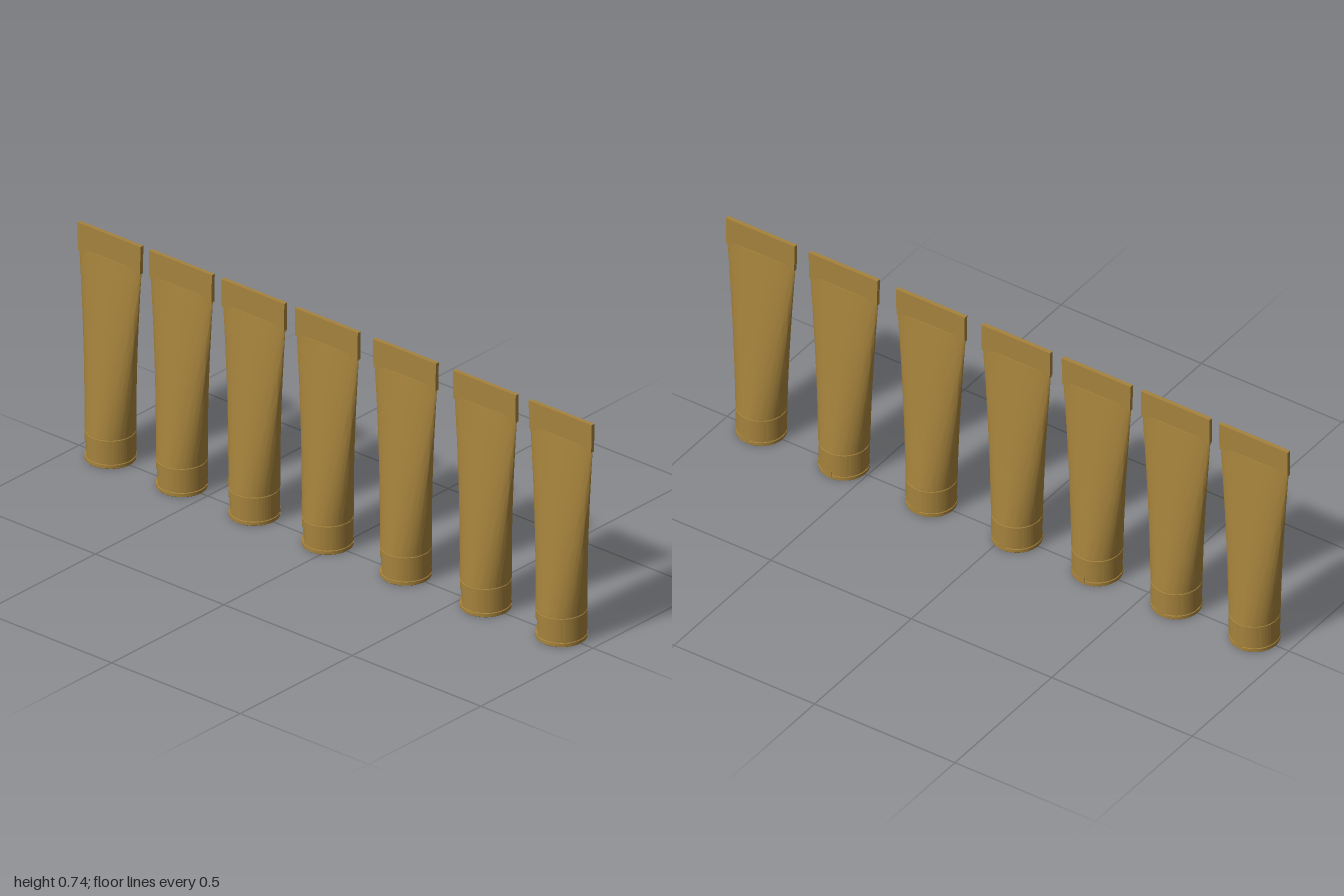
import * as THREE from 'three';
import { toCreasedNormals } from 'three/addons/utils/BufferGeometryUtils.js';

const R = 0.076; // cap radius
const CAP_TOP = 0.097, SEAL = 0.656, TOP = 0.735;

// Move every vertex of a geometry by a rule, then rebuild the normals
function reshape(geometry, rule, crease = 0.6) {
  const p = geometry.attributes.position;
  const v = new THREE.Vector3();
  for (let i = 0; i < p.count; i++) {
    v.fromBufferAttribute(p, i);
    rule(v);
    p.setXYZ(i, v.x, v.y, v.z);
  }
  return toCreasedNormals(geometry, crease);
}

function lathe(points) {
  const profile = points.map(([r, y]) => new THREE.Vector2(r, y));
  return toCreasedNormals(new THREE.LatheGeometry(profile, 64), 0.5);
}

// Tube body: round at the cap, flattening and widening towards the seal
function bodyGeometry() {
  return reshape(new THREE.CylinderGeometry(1, 1, 1, 64, 12), (v) => {
    const t = v.y + 0.5;
    v.set(
      v.x * THREE.MathUtils.lerp(0.0765, 0.1215, t),
      THREE.MathUtils.lerp(CAP_TOP, SEAL, t),
      v.z * THREE.MathUtils.lerp(0.0765, 0.0095, t)
    );
  });
}

// Flat crimped seal, a touch wider at the top
function sealGeometry() {
  const bottom = SEAL - 0.012;
  return reshape(new THREE.BoxGeometry(1, 1, 1), (v) => {
    const t = v.y + 0.5;
    v.set(v.x * THREE.MathUtils.lerp(0.242, 0.245, t),
      THREE.MathUtils.lerp(bottom, TOP, t), v.z * 0.013);
  });
}

// Cap wall with a rounded thumb notch pressed into the front corner
function capWallGeometry() {
  const low = 0.0165, high = 0.091;
  return reshape(new THREE.CylinderGeometry(R, R, high - low, 96, 22, true), (v) => {
    v.y += (low + high) / 2;
    const a = (Math.atan2(v.x, v.z) + Math.PI / 4) * R / 0.027;
    const b = (v.y - 0.04) / 0.0235;
    const d = Math.pow(a ** 4 + b ** 4, 0.25);
    const r = R - 0.005 * (1 - THREE.MathUtils.smoothstep(d, 0.75, 1));
    const k = r / R;
    v.x *= k;
    v.z *= k;
  }, 0.7);
}

// Bow-tie hinge wrapped around the back of the cap
function hingeGeometry() {
  const n = 6, half = 0.55;
  const outline = [];
  for (let s = -1; s <= 1; s += 2) {
    for (let i = -n; i <= n; i++) {
      const u = (-s * i) / n;
      outline.push(new THREE.Vector2(u * half, s * (0.0015 + 0.008 * Math.abs(u))));
    }
  }
  const shape = new THREE.Shape(outline);
  const centre = THREE.MathUtils.degToRad(153);
  return reshape(
    new THREE.ExtrudeGeometry(shape, { depth: 0.003, bevelEnabled: false }),
    (v) => {
      const r = R - 0.0022 + v.z;
      const angle = centre + v.x;
      v.set(r * Math.sin(angle), v.y + 0.0165, r * Math.cos(angle));
    }
  );
}

export function createModel() {
  const material = new THREE.MeshStandardMaterial({ color: 0xa5823c });
  const parts = {
    tubeBody: bodyGeometry(),
    crimpedSeal: sealGeometry(),
    capWall: capWallGeometry(),
    capLid: lathe([[0, 0], [0.0745, 0], [R, 0.0015], [R, 0.012], [0.0735, 0.013],
      [0.0735, 0.0165], [R, 0.0165]]),
    capCollar: lathe([[R, 0.091], [0.0748, 0.0925], [0.074, 0.0925], [0.074, 0.096],
      [0.0765, CAP_TOP]]),
    capHinge: hingeGeometry(),
  };

  // Row of identical tubes, slightly unevenly spaced
  const model = new THREE.Group();
  model.name = 'tubeRow';
  [-0.878, -0.6, -0.318, -0.032, 0.272, 0.583, 0.878].forEach((x, i) => {
    const tube = new THREE.Group();
    tube.name = `tube${i + 1}`;
    for (const [name, geometry] of Object.entries(parts)) {
      const mesh = new THREE.Mesh(geometry, material);
      mesh.name = name;
      tube.add(mesh);
    }
    tube.position.x = x;
    model.add(tube);
  });
  return model;
}
